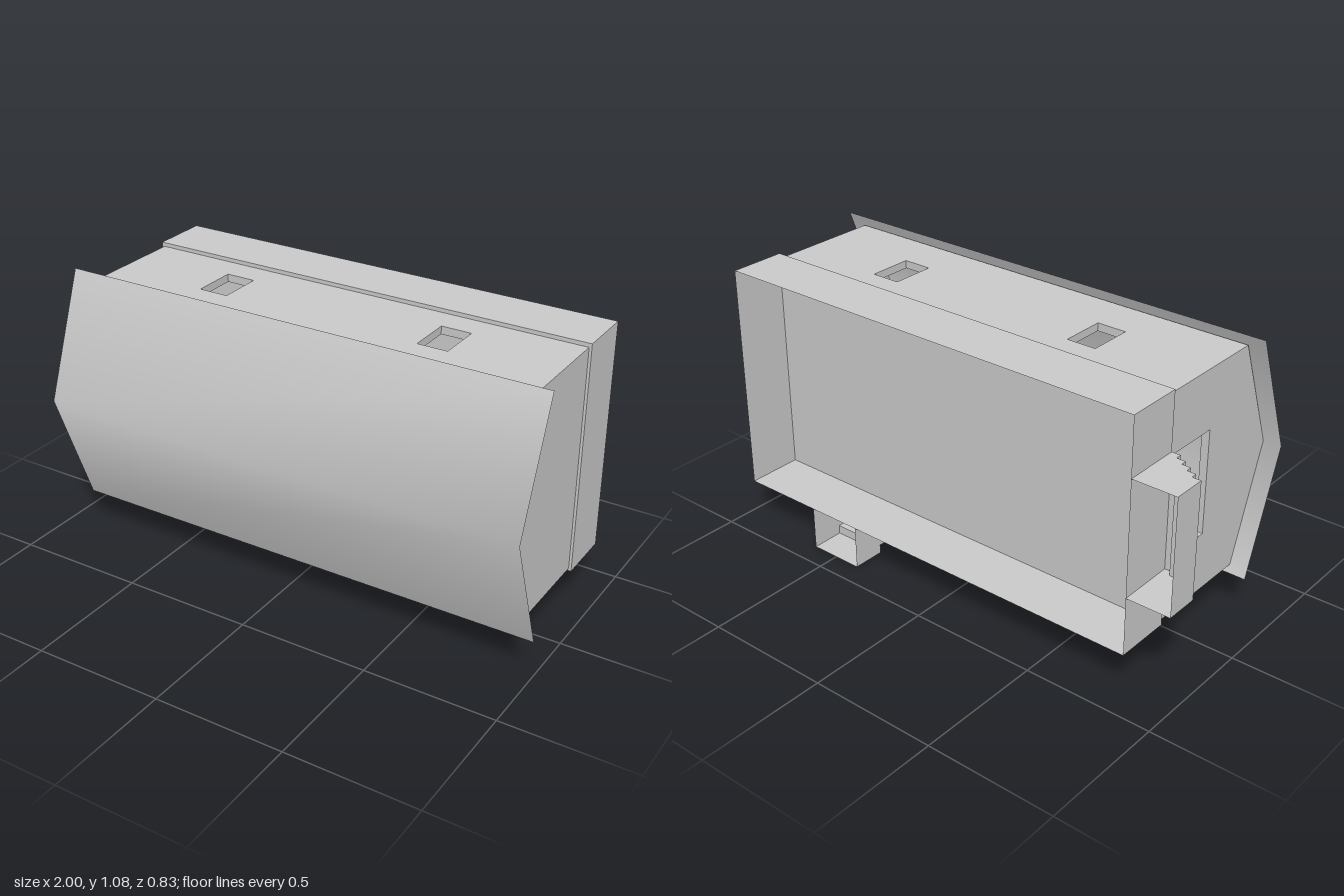
import * as THREE from 'three';

// A small gabled house lying on its back: its roof faces +z, its open base faces -z.
const X0 = -0.82, X1 = 0.93, Y0 = 0.18, Y1 = 1.04, FLOOR = -0.195, EAVE = 0.25, BASE = -0.415;
const RIDGE_Y = 0.615, RIDGE_Z = 0.415, T = 0.03;
const V = (x, y, z) => new THREE.Vector3(x, y, z);

export function createModel() {
  const model = new THREE.Group();
  const solid = new THREE.MeshStandardMaterial({ color: 0xcccccc });
  const thin = new THREE.MeshStandardMaterial({ color: 0xcccccc, side: THREE.DoubleSide });

  function add(name, geometry, material, parent = model) {
    const mesh = new THREE.Mesh(geometry, material);
    mesh.name = name;
    parent.add(mesh);
    return mesh;
  }

  // Places an object by the directions of its local axes and its origin
  function orient(object, ax, ay, az, origin) {
    object.applyMatrix4(new THREE.Matrix4().makeBasis(ax, ay, az).setPosition(origin));
  }

  const shapeOf = points => new THREE.Shape(points.map(p => new THREE.Vector2(...p)));
  const rect = (a0, a1, b0, b1) => [[a0, b0], [a1, b0], [a1, b1], [a0, b1]];

  function wallGeometry(outline, holes) {
    const shape = shapeOf(outline);
    shape.holes = holes.map(h => new THREE.Path(rect(...h).map(p => new THREE.Vector2(...p))));
    return new THREE.ExtrudeGeometry(shape, { depth: T, bevelEnabled: false });
  }

  // Quads swept between successive points of a profile, two edges given per point
  function strip(pairs, smooth) {
    const pos = [], index = [];
    if (smooth) {
      pairs.forEach(([a, b]) => pos.push(...a, ...b));
      for (let i = 0; i < pairs.length - 1; i++) {
        const k = i * 2;
        index.push(k, k + 1, k + 3, k, k + 3, k + 2);
      }
    } else {
      for (let i = 0; i < pairs.length - 1; i++) {
        const [a, b] = pairs[i], [c, d] = pairs[i + 1];
        pos.push(...a, ...b, ...d, ...a, ...d, ...c);
      }
    }
    const g = new THREE.BufferGeometry();
    g.setAttribute('position', new THREE.Float32BufferAttribute(pos, 3));
    if (smooth) g.setIndex(index);
    g.computeVertexNormals();
    return g;
  }

  // Long walls with windows and a door
  const windowAt = x => [x - 0.057, x + 0.057, -0.09, 0.08];
  const longOutline = rect(X0 + T, X1 - T, FLOOR, EAVE);
  const sideDoor = [0.39, 0.61, FLOOR + 0.005, 0.035];
  orient(add('windowWall', wallGeometry(longOutline, [windowAt(-0.39), windowAt(0.495)]), solid),
    V(1, 0, 0), V(0, 0, 1), V(0, -1, 0), V(0, Y1, 0));
  orient(add('doorWall', wallGeometry(longOutline, [windowAt(-0.39), windowAt(0.05), sideDoor]), solid),
    V(1, 0, 0), V(0, 0, 1), V(0, -1, 0), V(0, Y0 + T, 0));

  // Gable walls, one with a wide door
  const gable = [[Y0, FLOOR], [Y1, FLOOR], [Y1, EAVE], [RIDGE_Y, RIDGE_Z - 0.003], [Y0, EAVE]];
  const endDoor = [0.41, 0.81, FLOOR + 0.005, 0.045];
  [['doorGable', X0, [endDoor]], ['plainGable', X1 - T, []]].forEach(([name, x, holes]) =>
    orient(add(name, wallGeometry(gable, holes), solid),
      V(0, 1, 0), V(0, 0, 1), V(1, 0, 0), V(x, 0, 0)));

  // Overhanging roof sheet, folded at the ridge
  const roofProfile = [[0.15, 0.24], [RIDGE_Y, RIDGE_Z], [1.08, 0.24]];
  add('roof', strip(roofProfile.map(([y, z]) => [[-0.89, y, z], [1, y, z]]), true), thin);

  // Foundation: four thin sides closed by the floor, open underneath
  const [fx0, fx1, fy0, fy1] = [-0.83, 0.94, 0.17, 1.055];
  const ring = [...rect(fx0, fx1, fy0, fy1), [fx0, fy0]];
  add('foundation', strip(ring.map(([x, y]) => [[x, y, BASE], [x, y, FLOOR]]), false), thin);
  const floor = add('floor', new THREE.PlaneGeometry(fx1 - fx0, fy1 - fy0), thin);
  floor.position.set((fx0 + fx1) / 2, (fy0 + fy1) / 2, FLOOR - 0.001);

  // Hollow stairs of five steps: local x points outward, y up the house, z across
  function stairs(name, width, ax, az, origin) {
    const group = new THREE.Group();
    group.name = name;
    const profile = [[0, FLOOR]];
    for (let i = 0; i < 5; i++) {
      const out = 0.034 * (i + 1);
      profile.push([out, FLOOR - 0.023 * i], [out, i < 4 ? FLOOR - 0.023 * (i + 1) : BASE]);
    }
    const h = width / 2;
    add('steps', strip(profile.map(([d, u]) => [[d, u, h], [d, u, -h]]), false), thin, group);
    for (const s of [-1, 1]) {
      const panel = add('stairSide', new THREE.ShapeGeometry(shapeOf([...profile, [0, BASE]])), thin, group);
      panel.position.z = s * h;
    }
    orient(group, ax, V(0, 0, 1), az, origin);
    model.add(group);
  }
  stairs('sideStairs', 0.22, V(0, -1, 0), V(-1, 0, 0), V(0.5, fy0, 0));
  stairs('endStairs', 0.44, V(-1, 0, 0), V(0, 1, 0), V(fx0, 0.615, 0));

  return model;
}
